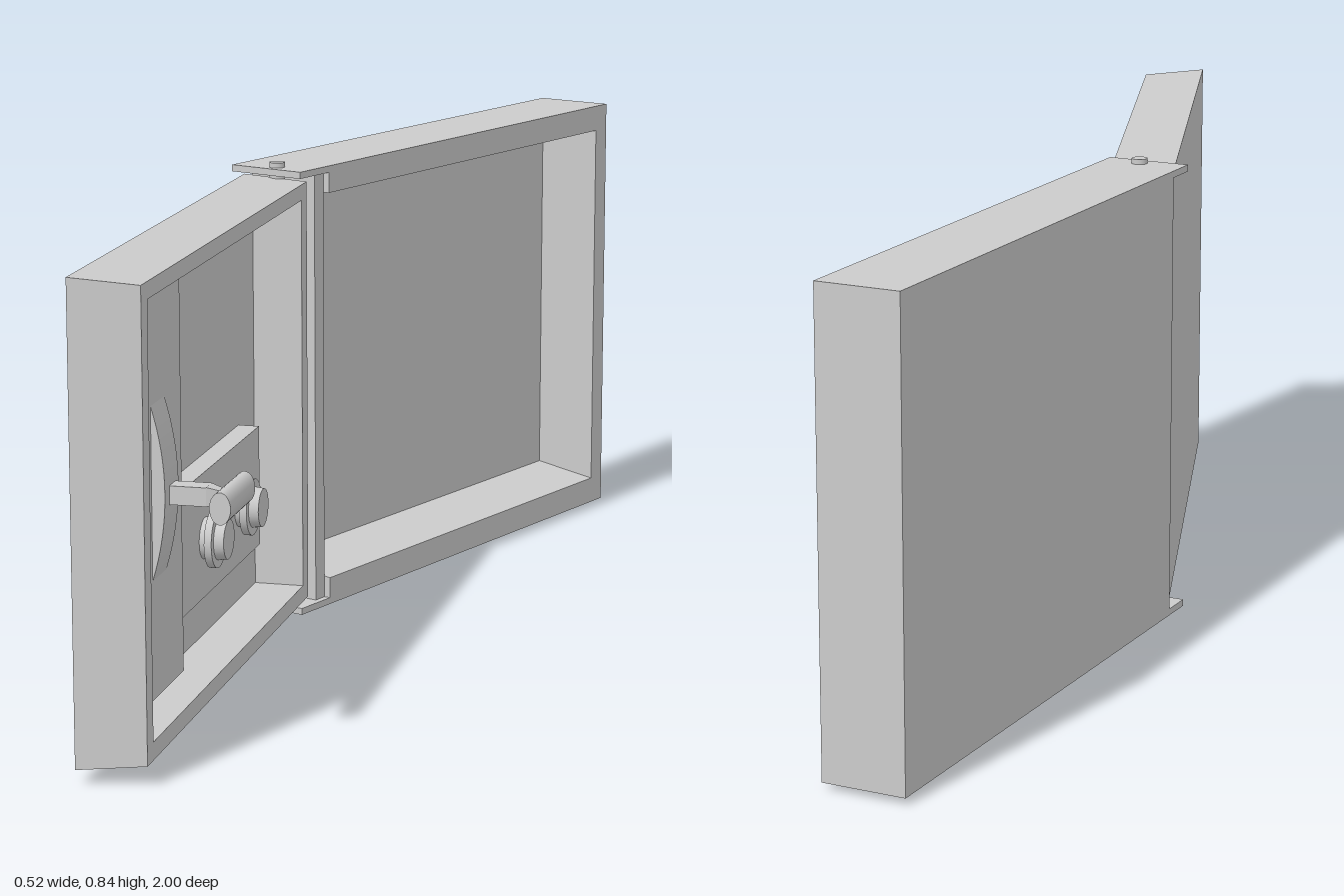
import * as THREE from 'three';

const material = new THREE.MeshStandardMaterial({ color: 0xcccccc, side: THREE.DoubleSide });

function add(parent, name, geometry) {
  const mesh = new THREE.Mesh(geometry, material);
  mesh.name = name;
  parent.add(mesh);
  return mesh;
}

// Box given by its limits on each axis
function block(parent, name, [x0, x1], [y0, y1], [z0, z1]) {
  const g = new THREE.BoxGeometry(x1 - x0, y1 - y0, z1 - z0);
  g.translate((x0 + x1) / 2, (y0 + y1) / 2, (z0 + z1) / 2);
  return add(parent, name, g);
}

function polygon(points) {
  return new THREE.Shape(points.map(([x, y]) => new THREE.Vector2(x, y)));
}

// Round part whose axis runs along x, from x0 to x1
function disc(parent, name, r0, r1, x0, x1, y, z) {
  const g = new THREE.CylinderGeometry(r1, r0, x1 - x0, 32);
  g.rotateZ(-Math.PI / 2);
  g.translate((x0 + x1) / 2, y, z);
  return add(parent, name, g);
}

// Housing: local x runs away from the hinge, local z points out of the mouth
function createHousing() {
  const tray = new THREE.Group();
  tray.name = 'housing';
  const length = 1.047, depth = 0.151, floor = -0.125, start = 0.0875;

  // Thin hinge plates above and below the door
  block(tray, 'lowerHingePlate', [0, start], [0.012, 0.024], [-depth, 0]);
  block(tray, 'upperHingePlate', [0, start], [0.816, 0.828], [-depth, 0]);

  // Rails: profile in depth and height, swept along the length
  const rail = (name, points) => {
    const g = new THREE.ExtrudeGeometry(polygon(points.map(([z, y]) => [-z, y])),
      { depth: length - start, bevelEnabled: false });
    g.rotateY(Math.PI / 2);
    g.scale(1, 1, 1);
    g.translate(start, 0, 0);
    add(tray, name, g);
  };
  rail('bottomRail', [[0, 0.012], [0, 0.062], [floor, 0.081], [-depth, 0.081], [-depth, 0.012]]);
  rail('topRail', [[0, 0.828], [0, 0.779], [floor, 0.779], [-depth, 0.779], [-depth, 0.828]]);

  block(tray, 'hingeWall', [0.06, start], [0.024, 0.816], [-depth, -0.012]);
  block(tray, 'farWall', [1.008, length], [0.062, 0.779], [-depth, 0]);
  block(tray, 'backPanel', [start, 1.008], [0.081, 0.779], [-depth, floor]);

  tray.position.set(-0.12, 0, 0.028);
  tray.rotation.y = 1.2;
  return tray;
}

// Door: a shallow tray opening toward +x, tapering slightly toward its mouth
const BACK = -0.235, MOUTH = -0.12, FLOOR = -0.21;

function taper(geometry) {
  const p = geometry.attributes.position;
  for (let i = 0; i < p.count; i++) {
    const t = (p.getX(i) - BACK) / (MOUTH - BACK);
    const y = p.getY(i), z = p.getZ(i);
    if (y < 0.05) p.setY(i, y + 0.01 * t);
    if (y > 0.79) p.setY(i, y - 0.01 * t);
    if (z > 0.97) p.setZ(i, z - 0.014 * t);
  }
  geometry.computeVertexNormals();
}

function createDoor() {
  const door = new THREE.Group();
  door.name = 'door';

  // Frame around the recess
  const rect = (z0, z1, y0, y1) => [[-z1, y0], [-z0, y0], [-z0, y1], [-z1, y1]];
  const outline = polygon(rect(-0.017, 0.997, 0.025, 0.814));
  outline.holes.push(polygon(rect(0.02, 0.95, 0.065, 0.776).reverse()));
  const frame = new THREE.ExtrudeGeometry(outline, { depth: MOUTH - FLOOR, bevelEnabled: false });
  frame.rotateY(Math.PI / 2);
  frame.translate(FLOOR, 0, 0);
  taper(frame);
  add(door, 'doorFrame', frame);
  const panel = block(door, 'doorPanel', [BACK, FLOOR], [0.025, 0.814], [-0.017, 0.997]);
  taper(panel.geometry);

  // Latch cover with a shallow curved boss
  block(door, 'latchCover', [FLOOR, -0.15], [0.1, 0.77], [0.68, 0.93]);
  const boss = new THREE.Shape();
  boss.moveTo(-0.15, 0.297);
  boss.quadraticCurveTo(-0.106, 0.44, -0.15, 0.583);
  boss.closePath();
  const bossGeometry = new THREE.ExtrudeGeometry(boss,
    { depth: 0.075, bevelEnabled: false, curveSegments: 16 });
  bossGeometry.translate(0, 0, 0.77);
  add(door, 'latchBoss', bossGeometry);

  // Handle: square shaft, tapered neck, oval grip
  block(door, 'handleShaft', [-0.15, -0.068], [0.418, 0.449], [0.785, 0.82]);
  const neck = new THREE.CylinderGeometry(0.0125, 0.0225, 0.026, 4, 1, false, Math.PI / 4);
  neck.rotateZ(-Math.PI / 2);
  neck.translate(-0.055, 0.4335, 0.8025);
  add(door, 'handleNeck', neck.toNonIndexed()).geometry.computeVertexNormals();
  const grip = new THREE.CylinderGeometry(1, 1, 0.145, 32);
  grip.rotateX(Math.PI / 2);
  grip.scale(0.0175, 0.0265, 1);
  grip.translate(-0.03, 0.43, 0.8);
  add(door, 'handleGrip', grip);

  // Control box with two dials
  block(door, 'controlBox', [FLOOR, -0.172], [0.168, 0.385], [0.125, 0.622]);
  for (const z of [0.472, 0.252]) {
    disc(door, 'dialStem', 0.036, 0.036, -0.172, -0.16, 0.27, z);
    disc(door, 'dialRing', 0.05, 0.05, -0.16, -0.147, 0.27, z);
    disc(door, 'dialCap', 0.036, 0.034, -0.147, -0.13, 0.27, z);
  }
  return door;
}

export function createModel() {
  const model = new THREE.Group();
  model.name = 'hingedCase';
  model.add(createHousing(), createDoor());

  // Hinge pins through the plates
  for (const [name, y] of [['lowerHingePin', 0.018], ['upperHingePin', 0.819]]) {
    const pin = new THREE.CylinderGeometry(0.014, 0.014, 0.036, 20);
    pin.translate(-0.175, y, -0.02);
    add(model, name, pin);
  }
  return model;
}
